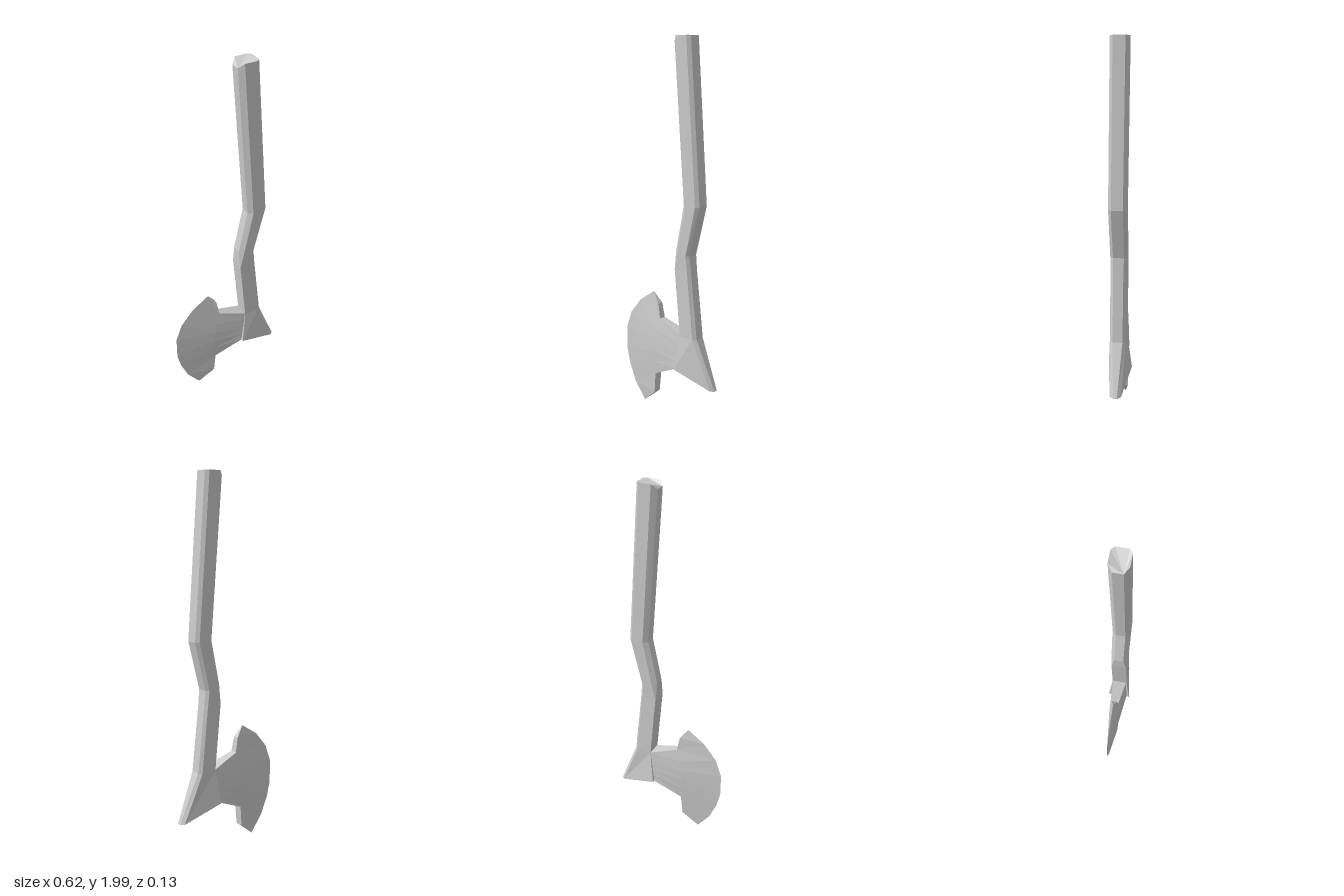
import * as THREE from 'three';

// Flat-shaded mesh from a list of polygons, each a counter-clockwise list of corners
function facetMesh(name, polygons) {
  const positions = [];
  for (const p of polygons)
    for (let i = 1; i < p.length - 1; i++) positions.push(...p[0], ...p[i], ...p[i + 1]);
  const geometry = new THREE.BufferGeometry();
  geometry.setAttribute('position', new THREE.Float32BufferAttribute(positions, 3));
  geometry.computeVertexNormals();
  const mesh = new THREE.Mesh(geometry, new THREE.MeshStandardMaterial({
    color: 0xcccccc, flatShading: true, side: THREE.DoubleSide,
  }));
  mesh.name = name;
  return mesh;
}

// Crooked haft: chamfered sections, each given at left, left chamfer, right chamfer, right
function createHaft() {
  const sections = [
    { x: [0.08, 0.08, 0.295, 0.312], y: [0.275, 0.275, 0.198, 0.195], z: [0.063, 0.063, 0.029, 0.01] },
    { x: [0.105, 0.105, 0.188, 0.205], y: [0.46, 0.46, 0.46, 0.46], z: [0.042, 0.042, 0.042, 0.026] },
    { x: [0.068, 0.07, 0.15, 0.164], y: [0.82, 0.82, 0.82, 0.82], z: [0.04, 0.042, 0.042, 0.026] },
    { x: [0.066, 0.086, 0.142, 0.156], y: [0.92, 0.9, 0.9, 0.9], z: [0.025, 0.044, 0.044, 0.028] },
    { x: [0.115, 0.139, 0.203, 0.22], y: [1.16, 1.16, 1.16, 1.16], z: [0.025, 0.046, 0.046, 0.03] },
    { x: [0.05, 0.075, 0.14, 0.157], y: [1.975, 2, 2, 2], z: [0.025, 0.047, 0.047, 0.031], shift: -0.004 },
  ];
  const rings = sections.map(({ x, y, z, shift = 0 }) => [
    ...[0, 1, 2, 3].map(i => [x[i], y[i], shift + z[i]]),
    ...[3, 2, 1, 0].map(i => [x[i], y[i], shift - z[i]]),
  ]);
  const polygons = [rings[0].slice().reverse(), rings[rings.length - 1]];
  for (let r = 0; r < rings.length - 1; r++)
    for (let i = 0; i < 8; i++) {
      const j = (i + 1) % 8;
      polygons.push([rings[r][i], rings[r][j], rings[r + 1][j], rings[r + 1][i]]);
    }
  return facetMesh('haft', polygons);
}

// Axe blade: a sharp outer arc, a thicker inner arc and a neck running into the haft
function createBlade() {
  const edge = [[-0.11, 0.66], [-0.207, 0.595], [-0.277, 0.51], [-0.312, 0.415],
    [-0.312, 0.285], [-0.292, 0.2], [-0.25, 0.1], [-0.18, 0.008]].map(([x, y]) => [x, y, 0]);
  const inner = [[-0.065, 0.6, 0.016], [-0.05, 0.52, 0.02], [-0.072, 0.45, 0.027], [-0.082, 0.39, 0.03],
    [-0.088, 0.33, 0.03], [-0.088, 0.27, 0.028], [-0.08, 0.2, 0.025], [-0.09, 0.085, 0.022]];
  const root = [];
  for (let i = 0; i < 6; i++) {
    const t = i / 5;
    root.push([0.112 - 0.024 * t, 0.46 - 0.183 * t, 0.04 + 0.008 * t]);
  }
  const back = ([x, y, z]) => [x, y, -z];
  const polygons = [];
  const bothSides = p => polygons.push(p, p.map(back).reverse());
  for (let i = 0; i < 7; i++) bothSides([edge[i], edge[i + 1], inner[i + 1], inner[i]]);
  for (let i = 0; i < 5; i++) bothSides([inner[i + 1], inner[i + 2], root[i + 1], root[i]]);

  // Rim strips closing the horns and the neck, above and below
  const rim = (a, b) => polygons.push([a, b, back(b), back(a)]);
  const upper = [root[0], inner[1], inner[0], edge[0]];
  const lower = [edge[7], inner[7], inner[6], root[5]];
  for (const path of [upper, lower])
    for (let i = 0; i < 3; i++) rim(path[i + 1], path[i]);
  return facetMesh('blade', polygons);
}

export function createModel() {
  const axe = new THREE.Group();
  axe.name = 'axe';
  axe.add(createHaft(), createBlade());
  return axe;
}
